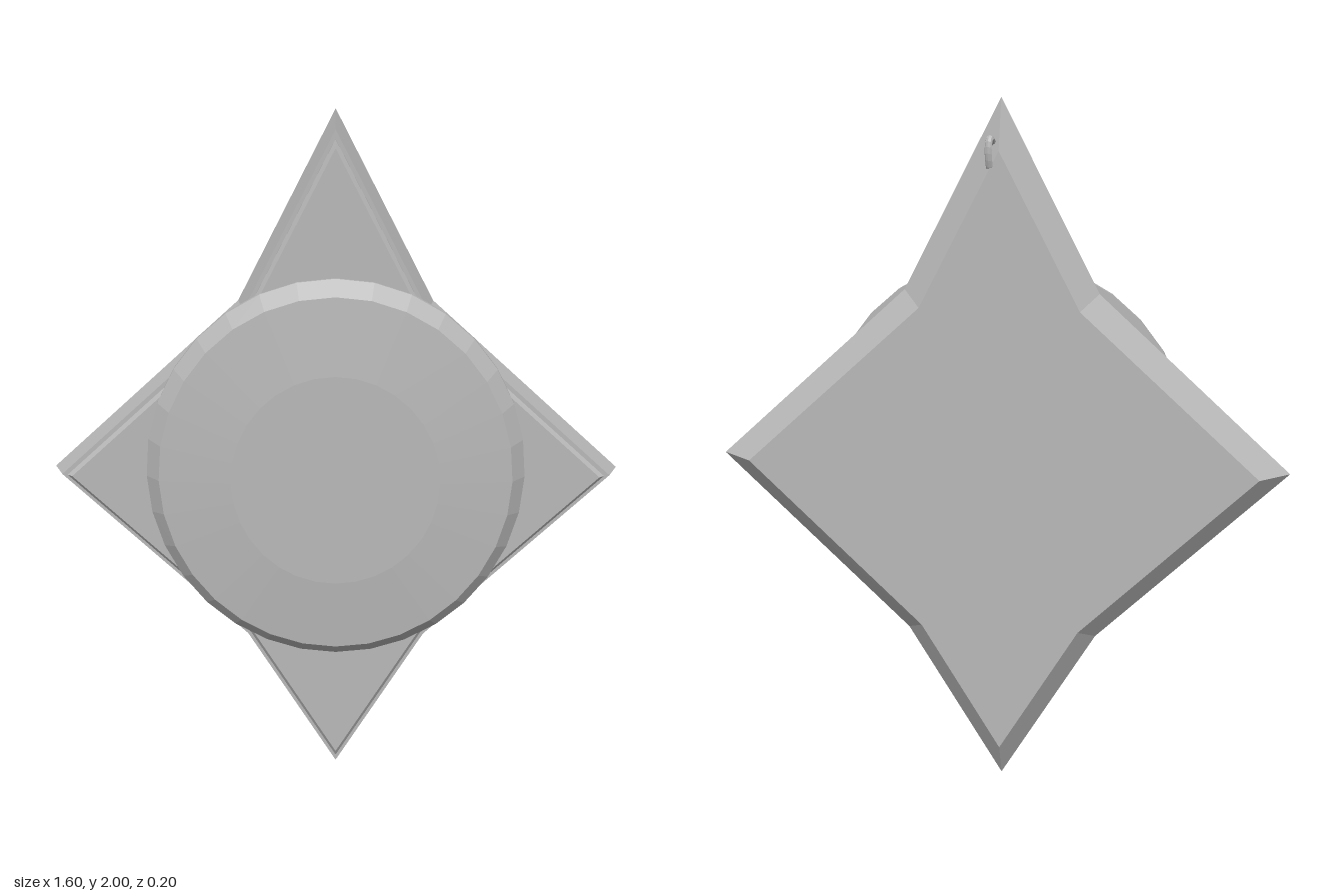
import * as THREE from 'three';

const metal = new THREE.MeshStandardMaterial({ color: 0xb8b8b8, flatShading: true });
metal.name = 'grey metal';

// Four-pointed star outline, counter-clockwise, relative to the middle (y = 1)
const star = [[0.8, 0], [0.265, 0.49], [0, 1], [-0.265, 0.49],
  [-0.8, 0], [-0.275, -0.525], [0, -1], [0.275, -0.525]].map(([x, y]) => new THREE.Vector2(x, y));

// Move every edge of the outline inward by d
function inset(points, d) {
  const n = points.length;
  const normal = (a, b) => new THREE.Vector2(a.y - b.y, b.x - a.x).normalize();
  return points.map((p, i) => {
    const n1 = normal(points[(i + n - 1) % n], p);
    const n2 = normal(p, points[(i + 1) % n]);
    return n1.clone().add(n2).multiplyScalar(d / (1 + n1.dot(n2))).add(p);
  });
}

function ellipse(rx, ry, sides = 32) {
  return Array.from({ length: sides }, (_, i) => {
    const a = (i / sides) * Math.PI * 2;
    return new THREE.Vector2(rx * Math.cos(a), ry * Math.sin(a));
  });
}

// Closed solid through outlines ordered from back to front
function loft(name, layers) {
  const pos = [], idx = [], n = layers[0].points.length;
  layers.forEach(({ points, z }) => points.forEach((p) => pos.push(p.x, p.y, z)));
  const last = (layers.length - 1) * n, backMid = layers.length * n, frontMid = backMid + 1;
  pos.push(0, 0, layers[0].z, 0, 0, layers[layers.length - 1].z);
  for (let j = 0; j < n; j++) {
    const k = (j + 1) % n;
    for (let r = 0; r < last; r += n) {
      idx.push(r + j, r + k, r + n + k, r + j, r + n + k, r + n + j);
    }
    idx.push(backMid, k, j, frontMid, last + j, last + k);
  }
  const indexed = new THREE.BufferGeometry();
  indexed.setAttribute('position', new THREE.Float32BufferAttribute(pos, 3));
  indexed.setIndex(idx);
  const geometry = indexed.toNonIndexed();
  geometry.computeVertexNormals();
  const mesh = new THREE.Mesh(geometry, metal);
  mesh.name = name;
  mesh.position.y = 1;
  return mesh;
}

export function createModel() {
  const group = new THREE.Group();
  group.name = 'starPendant';

  // Star body with a wide back bevel and a steep front bevel
  group.add(loft('starBody', [
    { points: inset(star, 0.06), z: -0.094 },
    { points: star, z: -0.034 },
    { points: inset(star, 0.02), z: 0.026 },
  ]));

  // Raised face plate inside the rim
  group.add(loft('facePlate', [
    { points: inset(star, 0.031), z: 0.02 },
    { points: inset(star, 0.031), z: 0.03 },
    { points: inset(star, 0.041), z: 0.04 },
  ]));

  // Oval medallion with a chamfered rim and shallow dome
  const medallion = loft('medallion', [
    { points: ellipse(0.53, 0.568), z: 0.032 },
    { points: ellipse(0.53, 0.568), z: 0.045 },
    { points: ellipse(0.492, 0.528), z: 0.082 },
    { points: ellipse(0.29, 0.312), z: 0.098 },
  ]);
  medallion.position.y = 1.003;
  group.add(medallion);

  // Small hanging loop on the back of the upper point
  const loop = new THREE.Mesh(new THREE.TorusGeometry(0.05, 0.01, 8, 20), metal);
  loop.name = 'hangingLoop';
  loop.geometry.scale(0.4, 1, 1).rotateZ(-0.2).rotateY(Math.PI / 2 - 0.3);
  loop.position.set(0.02, 1.85, -0.076);
  group.add(loop);

  return group;
}
